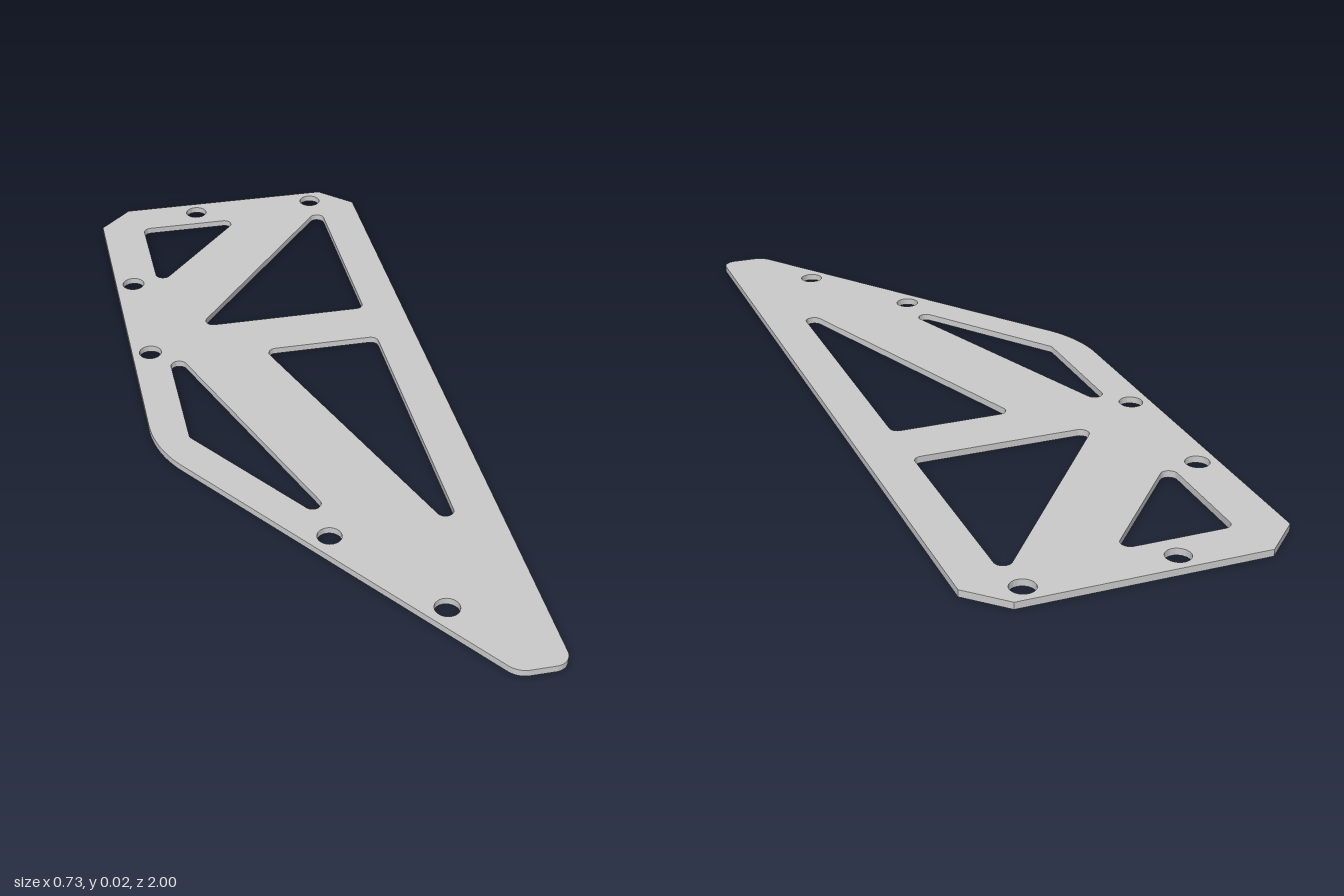
import * as THREE from 'three';
import { toCreasedNormals } from 'three/addons/utils/BufferGeometryUtils.js';

const THICKNESS = 0.016;

// Draws a closed polygon into a path; each corner is [x, z, filletRadius]
function roundedPolygon(path, corners) {
  const n = corners.length;
  const at = (i) => new THREE.Vector2(corners[(i + n) % n][0], corners[(i + n) % n][1]);
  corners.forEach(([x, z, r], i) => {
    const p = at(i);
    if (!r) {
      if (i === 0) path.moveTo(x, z);
      else path.lineTo(x, z);
      return;
    }
    const u = at(i - 1).sub(p).normalize();
    const v = at(i + 1).sub(p).normalize();
    const half = Math.acos(u.dot(v)) / 2;
    const centre = u.clone().add(v).normalize().multiplyScalar(r / Math.sin(half)).add(p);
    const t = r / Math.tan(half);
    const a = u.clone().multiplyScalar(t).add(p).sub(centre);
    const b = v.clone().multiplyScalar(t).add(p).sub(centre);
    path.absarc(centre.x, centre.y, r, Math.atan2(a.y, a.x), Math.atan2(b.y, b.x), u.cross(v) > 0);
  });
  path.closePath();
  return path;
}

export function createModel() {
  const group = new THREE.Group();
  group.name = 'sidePlate';

  // Outer outline: chamfered back, tapered front
  const shape = roundedPolygon(new THREE.Shape(), [
    [-0.28, -1], [0.28, -1], [0.363, -0.92],
    [0.363, 1, 0.035], [0.247, 1, 0.05],
    [-0.363, 0.127, 0.3], [-0.363, -0.92],
  ]);

  // Lightening cutouts
  const R = 0.02;
  const cutouts = [
    [[-0.251, -0.89], [0.021, -0.89], [-0.251, -0.587]],
    [[0.262, -0.905], [0.262, -0.364], [-0.178, -0.364]],
    [[-0.032, -0.225], [0.262, -0.225], [0.262, 0.6]],
    [[-0.275, -0.315], [0.026, 0.535], [-0.275, 0.1]],
  ];
  for (const c of cutouts) {
    shape.holes.push(roundedPolygon(new THREE.Path(), c.map(([x, z]) => [x, z, R])));
  }

  // Screw holes
  const screws = [
    [-0.09, -0.953], [0.243, -0.953], [-0.317, -0.605],
    [-0.317, -0.272], [-0.03, 0.517], [0.16, 0.79],
  ];
  for (const [x, z] of screws) {
    shape.holes.push(new THREE.Path().absarc(x, z, 0.028, 0, Math.PI * 2, true));
  }

  // Lay the extruded sheet flat on the ground
  const geometry = new THREE.ExtrudeGeometry(shape, {
    depth: THICKNESS, bevelEnabled: false, curveSegments: 16,
  });
  geometry.rotateX(Math.PI / 2);
  geometry.translate(0, THICKNESS, 0);

  const plate = new THREE.Mesh(
    toCreasedNormals(geometry, Math.PI / 6),
    new THREE.MeshStandardMaterial({ color: 0xcccccc }),
  );
  plate.name = 'plate';
  group.add(plate);
  return group;
}
